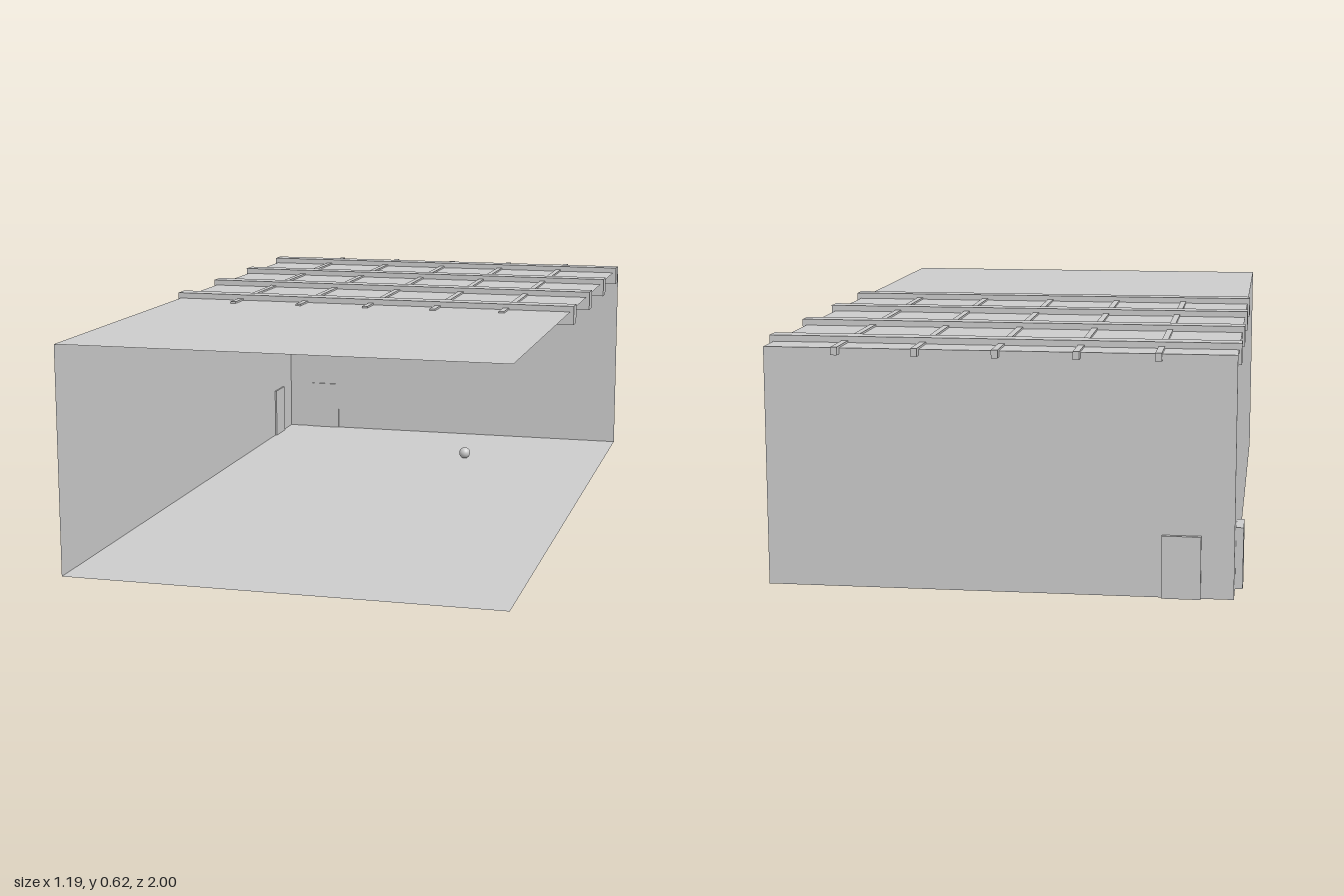
import * as THREE from 'three';

const grey = new THREE.MeshStandardMaterial({ color: 0xcccccc });
const greySheet = new THREE.MeshStandardMaterial({ color: 0xcccccc, side: THREE.DoubleSide });

function add(parent, name, geometry, material = grey) {
  const mesh = new THREE.Mesh(geometry, material);
  mesh.name = name;
  parent.add(mesh);
  return mesh;
}

// Box given by its extents along each axis
function box(parent, name, [x0, x1], [y0, y1], [z0, z1]) {
  const mesh = add(parent, name, new THREE.BoxGeometry(x1 - x0, y1 - y0, z1 - z0));
  mesh.position.set((x0 + x1) / 2, (y0 + y1) / 2, (z0 + z1) / 2);
}

function subgroup(parent, name) {
  const group = new THREE.Group();
  group.name = name;
  parent.add(group);
  return group;
}

export function createModel() {
  const model = new THREE.Group();
  model.name = 'gymHall';

  // Hall shell: thin sheets, open at the front and on the +x side
  const X0 = -0.579, X1 = 0.584, Z0 = -0.976, Z1 = 1, H = 0.602;
  const W = X1 - X0, D = Z1 - Z0, cx = (X0 + X1) / 2, cz = (Z0 + Z1) / 2;
  const shell = subgroup(model, 'shell');
  const sheet = (name, w, h, position, rx, ry) => {
    const mesh = add(shell, name, new THREE.PlaneGeometry(w, h), greySheet);
    mesh.position.set(...position);
    mesh.rotation.set(rx, ry, 0);
  };
  sheet('floor', W, D, [cx, 0, cz], -Math.PI / 2, 0);
  sheet('ceiling', W, D, [cx, H, cz], -Math.PI / 2, 0);
  sheet('backWall', W, H, [cx, H / 2, Z0], 0, 0);
  sheet('sideWall', D, H, [X0, H / 2, cz], 0, Math.PI / 2);

  // Roof structure: wide cross beams and slim rails running lengthwise
  const roof = subgroup(model, 'roofStructure');
  for (let i = 0; i < 4; i++) {
    const z = 0.086 - i * 0.315;
    box(roof, 'crossBeam', [-0.586, 0.594], [0.565, 0.618], [z - 0.025, z + 0.025]);
  }
  for (let i = -2; i <= 2; i++) {
    const x = 0.005 + i * 0.198;
    box(roof, 'rail', [x - 0.008, x + 0.008], [0.587, 0.607], [-1, 0.182]);
  }

  // Doors set through the walls
  box(model, 'backDoor', [-0.498, -0.402], [0, 0.157], [-0.987, -0.971]);
  box(model, 'sideDoor', [-0.598, -0.574], [0, 0.157], [-0.878, -0.787]);

  // Basketball hoop
  const hoop = subgroup(model, 'hoop');
  box(hoop, 'backboard', [-0.115, 0.121], [0.27, 0.42], [-0.925, -0.919]);
  const basket = subgroup(hoop, 'basket');
  basket.position.set(0.003, 0.334, -0.885);
  const rim = add(basket, 'rim', new THREE.TorusGeometry(0.033, 0.0015, 6, 32));
  rim.rotation.x = Math.PI / 2;

  // Net: two families of strands spiralling in opposite senses down a taper
  const strands = 10;
  for (const sense of [-1, 1]) {
    for (let i = 0; i < strands; i++) {
      const points = [];
      for (let k = 0; k <= 6; k++) {
        const t = k / 6;
        const angle = (i / strands + sense * t * 0.2) * Math.PI * 2;
        const r = 0.018 + 0.014 * (1 - t) ** 1.3;
        points.push(new THREE.Vector3(r * Math.cos(angle), -0.049 * t, r * Math.sin(angle)));
      }
      const path = new THREE.CatmullRomCurve3(points);
      add(basket, 'netStrand', new THREE.TubeGeometry(path, 12, 0.0007, 4));
    }
  }

  // Ball resting on the floor
  const ball = add(model, 'ball', new THREE.SphereGeometry(0.018, 32, 20));
  ball.position.set(0.14, 0.02, -0.589);

  return model;
}
